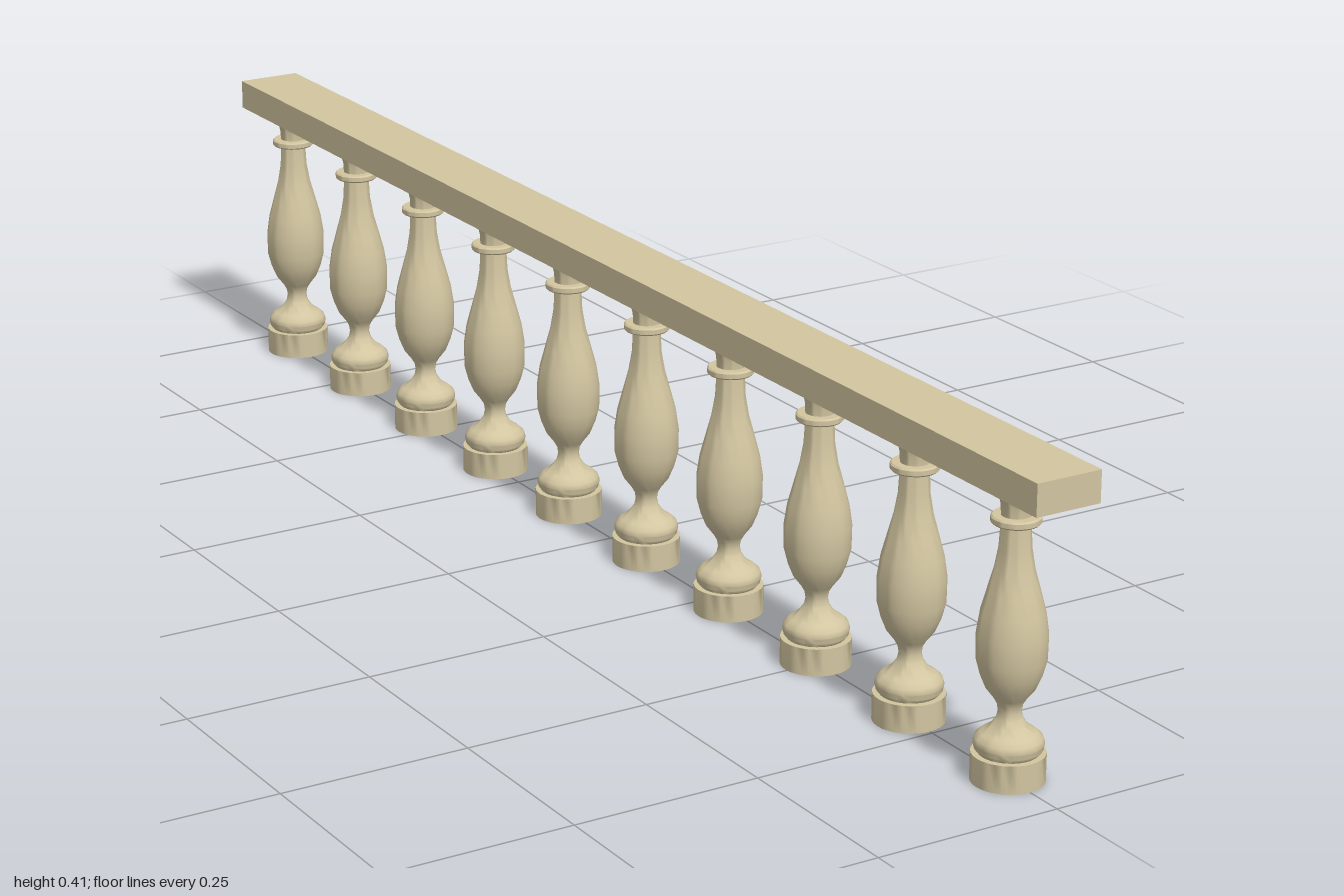
import * as THREE from 'three';
import { toCreasedNormals } from 'three/addons/utils/BufferGeometryUtils.js';

export function createModel() {
  const group = new THREE.Group();
  group.name = 'balustrade';

  const stone = new THREE.MeshStandardMaterial({ color: 0xd2c5a0, side: THREE.DoubleSide });
  stone.name = 'sandstone';

  // Handrail
  const rail = new THREE.Mesh(new THREE.BoxGeometry(0.09, 0.041, 2), stone);
  rail.name = 'handrail';
  rail.position.y = 0.3895;
  group.add(rail);

  // Turned baluster, open underneath: [radius, height] from bottom to top
  const profile = [
    // plinth
    [0.045, 0], [0.045, 0.036], [0.037, 0.036],
    // rounded foot
    [0.041, 0.041], [0.0425, 0.048], [0.0405, 0.055], [0.034, 0.061],
    // lower neck
    [0.03, 0.063], [0.022, 0.07], [0.016, 0.079], [0.014, 0.088], [0.0155, 0.097], [0.02, 0.105],
    // belly
    [0.03, 0.118], [0.037, 0.135], [0.042, 0.154], [0.0425, 0.186], [0.0385, 0.213],
    [0.031, 0.241], [0.024, 0.267], [0.0195, 0.293], [0.018, 0.323],
    // collar
    [0.028, 0.323], [0.03, 0.325], [0.03, 0.331], [0.028, 0.333], [0.018, 0.333],
    // flared capital
    [0.0185, 0.345], [0.021, 0.356], [0.025, 0.363], [0.031, 0.37],
  ].map(([r, y]) => new THREE.Vector2(r, y));
  const balusterGeometry = toCreasedNormals(new THREE.LatheGeometry(profile, 32), 0.75);

  // Evenly spaced row along the rail
  const count = 10, first = 0.903, spacing = 0.203;
  for (let i = 0; i < count; i++) {
    const baluster = new THREE.Mesh(balusterGeometry, stone);
    baluster.name = `baluster${i + 1}`;
    baluster.position.z = first - i * spacing;
    group.add(baluster);
  }
  return group;
}
